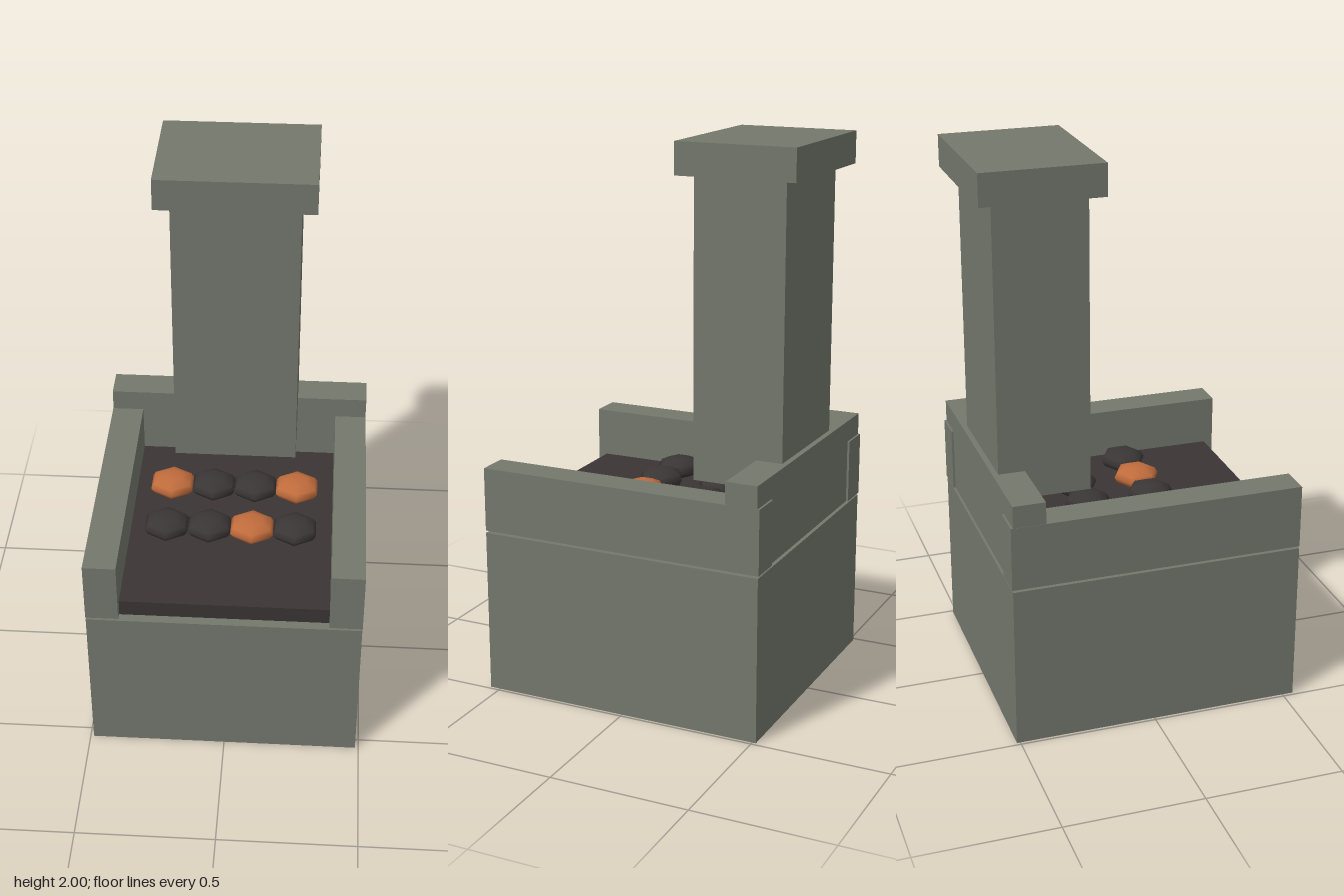
import * as THREE from 'three';

const material = (name, color) => {
  const m = new THREE.MeshStandardMaterial({ color });
  m.name = name;
  return m;
};

export function createModel() {
  const group = new THREE.Group();
  const stone = material('stone', 0x73776c);
  const soot = material('soot', 0x3b3434);
  const charcoal = material('charcoal', 0x3a3635);
  const ember = material('ember', 0xc06c3c);

  // Box given by its [min, max] extent on each axis
  const block = (name, mat, [x0, x1], [y0, y1], [z0, z1]) => {
    const mesh = new THREE.Mesh(new THREE.BoxGeometry(x1 - x0, y1 - y0, z1 - z0), mat);
    mesh.position.set((x0 + x1) / 2, (y0 + y1) / 2, (z0 + z1) / 2);
    mesh.name = name;
    group.add(mesh);
  };

  // Plinth and fire bed
  block('base', stone, [-0.488, 0.488], [0, 0.598], [-0.513, 0.54]);
  block('fireBed', soot, [-0.465, 0.465], [0.598, 0.66], [-0.48, 0.506]);

  // Low walls around three sides, resting just above the plinth
  block('leftWall', stone, [0.372, 0.489], [0.607, 0.84], [-0.516, 0.54]);
  block('rightWall', stone, [-0.489, -0.372], [0.607, 0.84], [-0.516, 0.54]);
  block('backWall', stone, [-0.488, 0.488], [0.607, 0.92], [-0.508, -0.392]);

  // Chimney and its cap
  block('chimney', stone, [-0.226, 0.226], [0.817, 1.886], [-0.488, -0.154]);
  block('chimneyCap', stone, [-0.28, 0.28], [1.886, 2], [-0.542, -0.107]);

  // Two rows of flattened six-sided coals, some glowing
  const coalShape = new THREE.SphereGeometry(1, 6, 6).rotateY(Math.PI / 2).scale(0.09, 0.04, 0.085);
  const glowing = [[0, 3], [2]];
  [-0.122, 0.12].forEach((z, row) => {
    for (let i = 0; i < 4; i++) {
      const hot = glowing[row].includes(i);
      const coal = new THREE.Mesh(coalShape, hot ? ember : charcoal);
      coal.position.set(-0.236 + i * 0.157, 0.698, z);
      coal.name = hot ? 'glowingCoal' : 'coal';
      group.add(coal);
    }
  });

  return group;
}
